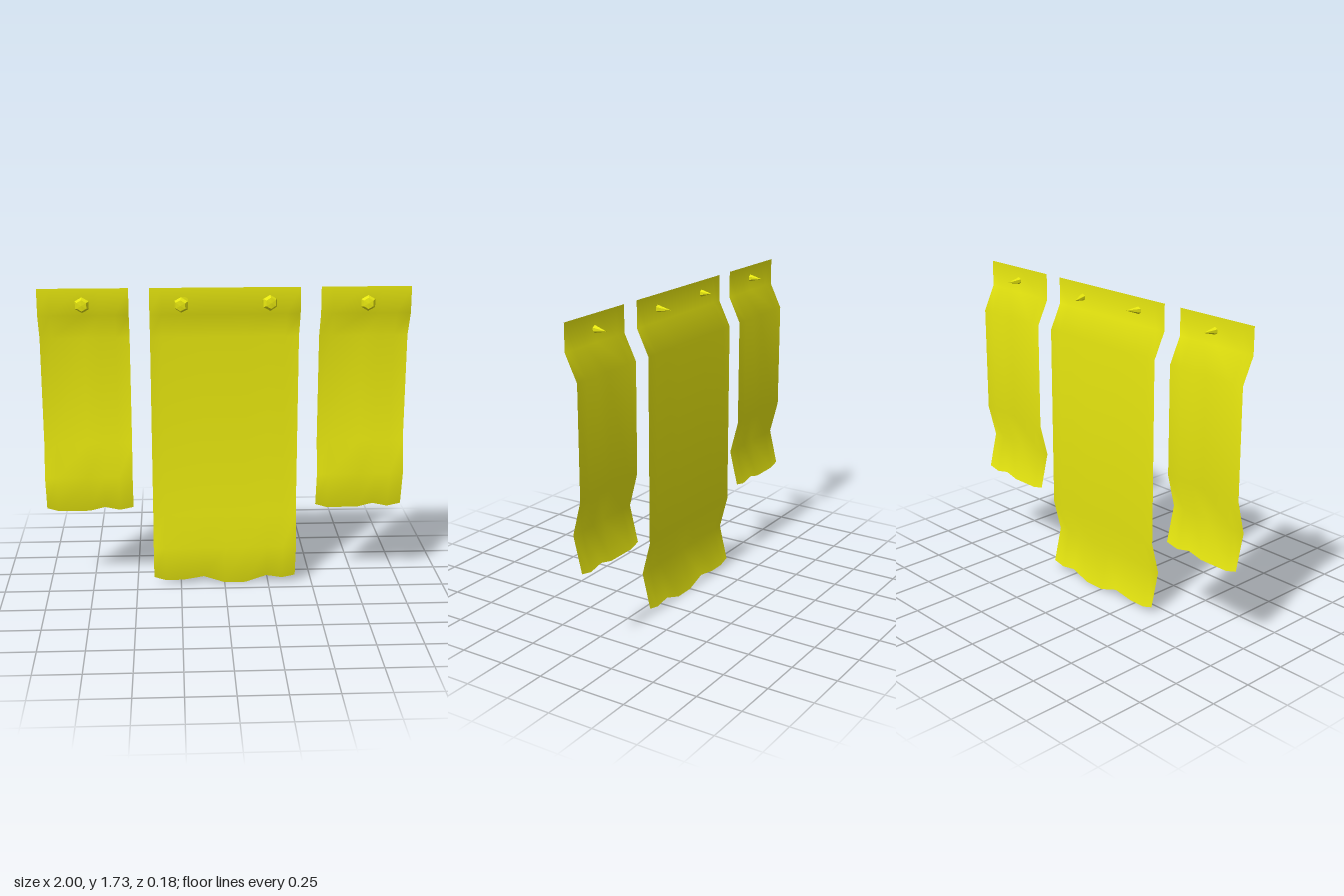
import * as THREE from 'three';

// Shared fold of the cloth: the top hangs forward, the middle lies back, the end swells out
const TOP = [[1.73, -0.015], [1.585, -0.015], [1.447, -0.083]];
const END = [[0.38, -0.083], [0.195, -0.035]]; // heights above the hem line
const HEM_Z = -0.083;

// A sheet whose lowest row follows the wavy hem [x, y]
function cloth(name, hem, hemY, material) {
  const rows = [...TOP, ...END.map(([h, z]) => [hemY + h, z])];
  const n = hem.length;
  const positions = [], index = [];
  for (const [y, z] of rows) for (const [x] of hem) positions.push(x, y, z);
  for (const [x, y] of hem) positions.push(x, y, HEM_Z);
  for (let r = 0; r < rows.length; r++) {
    for (let c = 0; c < n - 1; c++) {
      const a = r * n + c, b = a + n;
      index.push(a, b, a + 1, a + 1, b, b + 1);
    }
  }
  const geometry = new THREE.BufferGeometry();
  geometry.setAttribute('position', new THREE.Float32BufferAttribute(positions, 3));
  geometry.setIndex(index);
  geometry.computeVertexNormals();
  const mesh = new THREE.Mesh(geometry, material);
  mesh.name = name;
  return mesh;
}

export function createModel() {
  const group = new THREE.Group();
  group.name = 'hangingBanners';
  const clothMaterial = new THREE.MeshStandardMaterial({ color: 0xe6e60f, side: THREE.DoubleSide });
  const pegMaterial = new THREE.MeshStandardMaterial({ color: 0xe6e60f, flatShading: true });

  // Wide centre banner
  const centreHem = [[-0.405, 0.04], [-0.34, 0.02], [-0.24, 0.02], [-0.12, 0.04], [0, 0],
    [0.12, 0], [0.24, 0.04], [0.33, 0.025], [0.405, 0.04]];
  group.add(cloth('centreBanner', centreHem, 0.04, clothMaterial));

  // Two narrow side banners with the same hem
  const sideHem = [[0, 0.472], [0.065, 0.453], [0.24, 0.453], [0.325, 0.474], [0.41, 0.456], [0.485, 0.472]];
  for (const [name, x0] of [['rightBanner', -1], ['leftBanner', 0.515]]) {
    group.add(cloth(name, sideHem.map(([x, y]) => [x0 + x, y]), 0.472, clothMaterial));
  }

  // Six-sided pegs: low domed head tapering to a point behind the cloth
  const pegGeometry = new THREE.LatheGeometry(
    [[0, -0.09], [0.042, 0.07], [0.03, 0.087], [0, 0.09]].map(([r, y]) => new THREE.Vector2(r, y)), 6);
  const pegs = [ // head x, head y, tip x, tip y
    [-0.757, 1.657, -0.745, 1.66],
    [-0.24, 1.652, -0.197, 1.668],
    [0.238, 1.662, 0.197, 1.648],
    [0.753, 1.657, 0.766, 1.65],
  ];
  pegs.forEach(([hx, hy, tx, ty], i) => {
    const peg = new THREE.Mesh(pegGeometry, pegMaterial);
    peg.name = `peg${i + 1}`;
    const axis = new THREE.Vector3(hx - tx, hy - ty, 0.17).normalize();
    peg.rotation.x = Math.PI / 2;
    peg.quaternion.premultiply(
      new THREE.Quaternion().setFromUnitVectors(new THREE.Vector3(0, 0, 1), axis));
    peg.position.set((hx + tx) / 2, (hy + ty) / 2, 0);
    group.add(peg);
  });

  return group;
}
